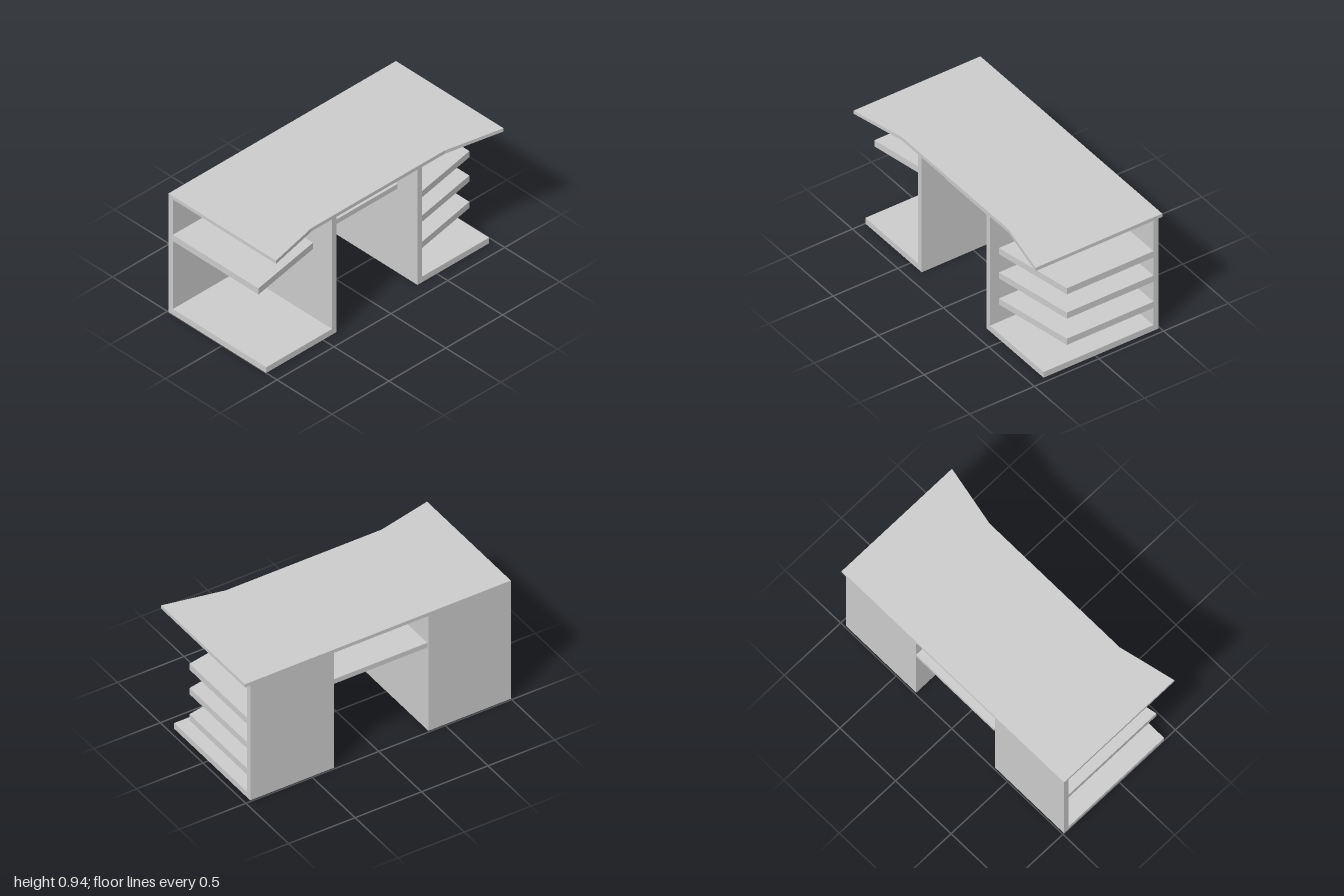
import * as THREE from 'three';

const material = new THREE.MeshStandardMaterial({ color: 0xcccccc, flatShading: true });

// Box given by its lower and upper limits on each axis
function board(name, [x0, x1], [y0, y1], [z0, z1]) {
  const geo = new THREE.BoxGeometry(x1 - x0, y1 - y0, z1 - z0);
  geo.translate((x0 + x1) / 2, (y0 + y1) / 2, (z0 + z1) / 2);
  const mesh = new THREE.Mesh(geo, material);
  mesh.name = name;
  return mesh;
}

// Horizontal slab from an outline of [x, z] points
function slab(name, points, y0, y1) {
  const shape = new THREE.Shape(points.map(([x, z]) => new THREE.Vector2(x, -z)));
  const geo = new THREE.ExtrudeGeometry(shape, { depth: y1 - y0, bevelEnabled: false });
  geo.rotateX(-Math.PI / 2).translate(0, y0, 0);
  const mesh = new THREE.Mesh(geo, material);
  mesh.name = name;
  return mesh;
}

const BACK = -0.49, INNER_BACK = -0.45, FRONT = 0.4, UNDER_TOP = 0.914;

// Open cabinet: back panel, side panel, floor and slanted shelves.
// side and open are the z limits; the panel faces the knee space.
function pedestal(name, side, open, shelfBottoms, shelfXSide, shelfXOpen) {
  const group = new THREE.Group();
  group.name = name;
  const inner = side + Math.sign(open) * 0.04;
  const range = (a, b) => [Math.min(a, b), Math.max(a, b)];
  group.add(
    board('sidePanel', [BACK, FRONT], [0, UNDER_TOP], range(side, inner)),
    board('backPanel', [BACK, INNER_BACK], [0, UNDER_TOP], range(inner, open)),
    board('floorPanel', [INNER_BACK, FRONT], [0, 0.045], range(inner, open))
  );
  for (const y of shelfBottoms) {
    group.add(slab('shelf', [
      [INNER_BACK, inner], [shelfXSide, inner], [shelfXOpen, open], [INNER_BACK, open]
    ], y, y + 0.049));
  }
  return group;
}

export function createModel() {
  const desk = new THREE.Group();
  desk.name = 'desk';

  // Top with a shallow recess along the front edge
  desk.add(slab('desktop', [
    [BACK, 1], [0.49, 1], [FRONT, 0.6], [FRONT, -0.57], [0.49, -1], [BACK, -1]
  ], UNDER_TOP, 0.94));

  // Cabinets at the two ends
  desk.add(pedestal('singleShelfCabinet', 0.38, 1, [0.584], 0.225, 0.33));
  desk.add(pedestal('tripleShelfCabinet', -0.33, -0.96, [0.584, 0.39, 0.182], 0.33, 0.22));

  // Shelf across the knee space
  desk.add(board('middleShelf', [BACK, 0.22], [0.667, 0.704], [-0.33, 0.372]));
  return desk;
}
